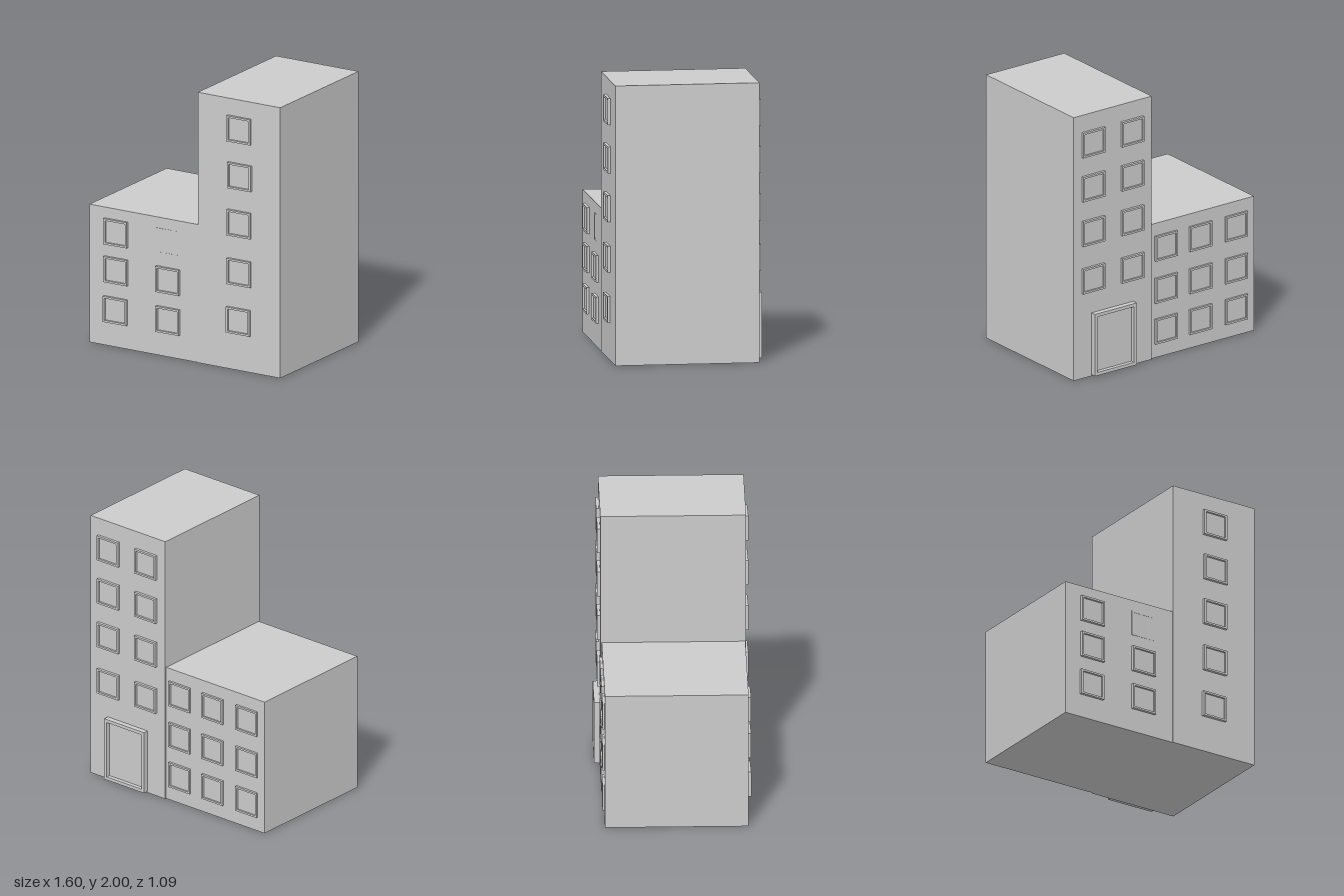
import * as THREE from 'three';

const material = new THREE.MeshStandardMaterial({ color: 0xcccccc, flatShading: true });

function box(name, x0, x1, y0, y1, z0, z1) {
  const mesh = new THREE.Mesh(new THREE.BoxGeometry(x1 - x0, y1 - y0, z1 - z0), material);
  mesh.name = name;
  mesh.position.set((x0 + x1) / 2, (y0 + y1) / 2, (z0 + z1) / 2);
  return mesh;
}

// Rectangle outline centred on the origin, usable as a shape or as a hole
function rectangle(path, w, h) {
  path.moveTo(-w / 2, -h / 2);
  path.lineTo(w / 2, -h / 2);
  path.lineTo(w / 2, h / 2);
  path.lineTo(-w / 2, h / 2);
  path.closePath();
  return path;
}

// Raised rim around a recessed pane; z = 0 is the wall and +z points outwards
function framedPanel(name, w, h, rim, depth) {
  const group = new THREE.Group();
  group.name = name;
  const sunk = 0.01;
  const shape = rectangle(new THREE.Shape(), w, h);
  shape.holes.push(rectangle(new THREE.Path(), w - 2 * rim, h - 2 * rim));
  const frame = new THREE.Mesh(
    new THREE.ExtrudeGeometry(shape, { depth: depth + sunk, bevelEnabled: false }), material);
  frame.name = name + 'Frame';
  frame.position.z = -sunk;
  const pane = box(name + 'Pane', -w / 2 + rim / 2, w / 2 - rim / 2,
    -h / 2 + rim / 2, h / 2 - rim / 2, -sunk, depth * 0.25);
  group.add(frame, pane);
  return group;
}

export function createModel() {
  const model = new THREE.Group();
  model.name = 'building';

  // Two joined blocks
  model.add(box('tower', 0.11, 0.8, 0, 2, -0.51, 0.52));
  model.add(box('lowWing', -0.8, 0.11, 0, 1.02, -0.5, 0.515));

  const addWindow = (name, x, y, z, depth, back) => {
    const win = framedPanel(name, 0.195, 0.19, 0.014, depth);
    win.position.set(x, y, z);
    win.rotation.y = back ? Math.PI : 0.02;
    model.add(win);
  };

  // Front windows: one column on the tower, two on the wing
  [[0.46, 1.78], [0.465, 1.435], [0.46, 1.085], [0.46, 0.725], [0.455, 0.365]]
    .forEach(([x, y]) => addWindow('frontTowerWindow', x, y, 0.52, 0.021));
  [[-0.575, 0.845], [-0.575, 0.565], [-0.58, 0.27], [-0.14, 0.565], [-0.14, 0.27]]
    .forEach(([x, y]) => addWindow('frontWingWindow', x, y, 0.515, 0.02));
  // This window sits almost flush with the wall
  addWindow('flushWingWindow', -0.14, 0.845, 0.515, 0.002);

  // Back windows: two columns on the tower, three on the wing
  for (const x of [0.285, 0.63])
    for (const y of [1.775, 1.44, 1.1, 0.74]) addWindow('backTowerWindow', x, y, -0.51, 0.02, true);
  for (const x of [-0.64, -0.325, -0.02])
    for (const y of [0.83, 0.51, 0.2]) addWindow('backWingWindow', x, y, -0.5, 0.016, true);

  // Entrance at the back of the tower
  const door = framedPanel('door', 0.37, 0.47, 0.024, 0.04);
  door.position.set(0.457, 0.245, -0.51);
  door.rotation.y = Math.PI;
  model.add(door);

  return model;
}
